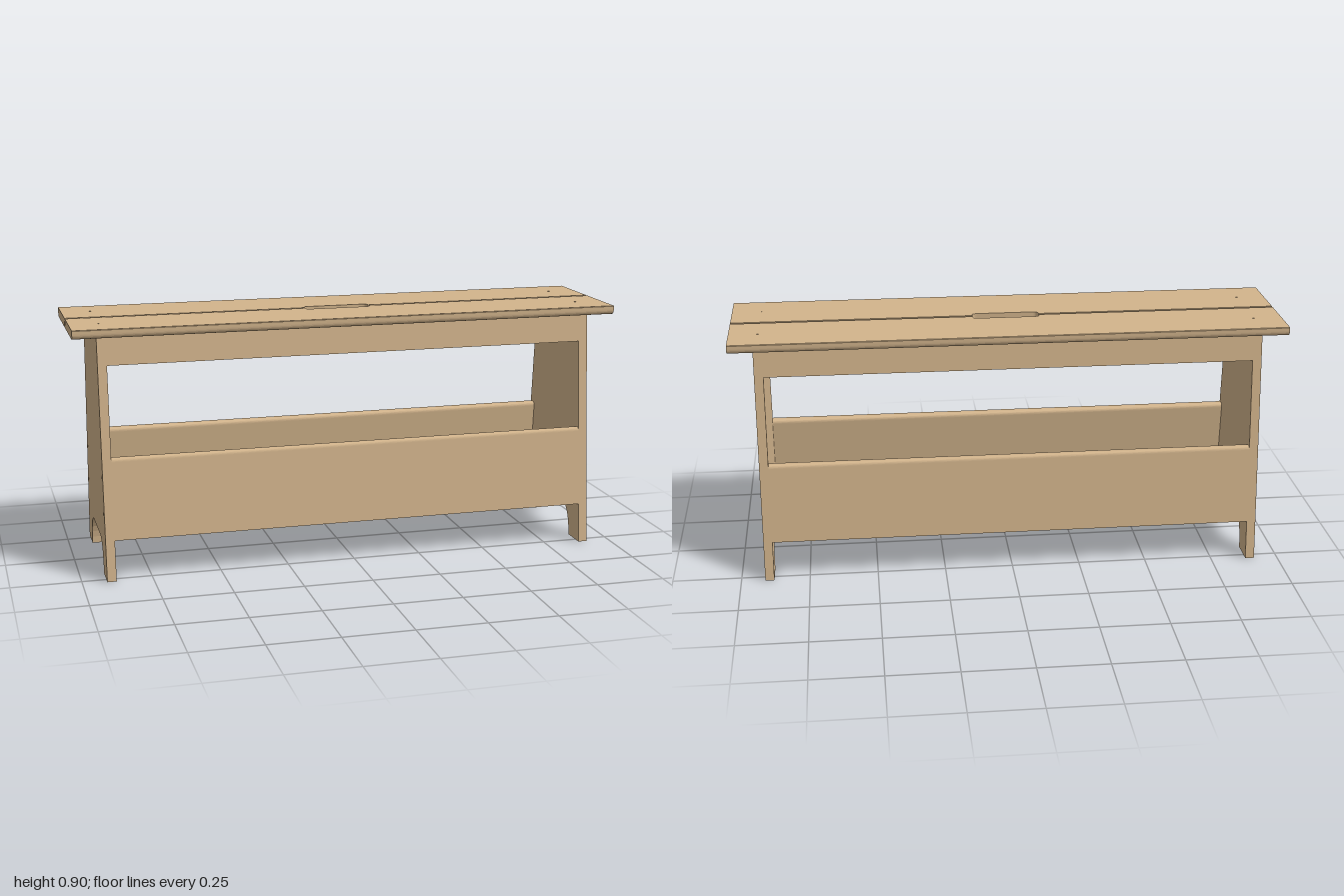
import * as THREE from 'three';

const wood = new THREE.MeshStandardMaterial({ color: 0xd2b48c });
wood.name = 'tanWood';

const LEG_TOP = 0.867, SEAT_TOP = 0.9, FOOT = 0.28, TOP_HALF = 0.203;
const TILT = Math.atan((FOOT - TOP_HALF) / LEG_TOP);

function add(parent, name, geometry, x = 0, y = 0, z = 0) {
  const mesh = new THREE.Mesh(geometry, wood);
  mesh.name = name;
  mesh.position.set(x, y, z);
  parent.add(mesh);
  return mesh;
}

// Extrudes a (z, y) cross-section along x, centred on x = 0
function prism(shape, length) {
  const g = new THREE.ExtrudeGeometry(shape, { depth: length, bevelEnabled: false, curveSegments: 8 });
  return g.translate(0, 0, -length / 2).rotateY(-Math.PI / 2);
}

// Tapered end panel with an arched cut-out at the foot
function endPanel() {
  const s = new THREE.Shape();
  s.moveTo(FOOT, 0);
  s.lineTo(TOP_HALF, LEG_TOP);
  s.lineTo(-TOP_HALF, LEG_TOP);
  s.lineTo(-FOOT, 0);
  s.lineTo(-0.182, 0);
  s.bezierCurveTo(-0.182, 0.07, -0.15, 0.122, -0.1, 0.122);
  s.lineTo(0.1, 0.122);
  s.bezierCurveTo(0.15, 0.122, 0.182, 0.07, 0.182, 0);
  return prism(s, 0.033);
}

// Board section whose outer face is at 0, with optionally rounded top corners
function board(bottom, top, thick, r) {
  const s = new THREE.Shape();
  s.moveTo(0, bottom);
  s.lineTo(0, top - r);
  if (r) s.quadraticCurveTo(0, top, -r, top);
  s.lineTo(-thick + r, top);
  if (r) s.quadraticCurveTo(-thick, top, -thick, top - r);
  s.lineTo(-thick, bottom);
  return prism(s, 1.762);
}

// Outer part of a seat slat, with a rounded lower edge
function slat() {
  const s = new THREE.Shape();
  s.moveTo(0.027, LEG_TOP);
  s.lineTo(0.23, LEG_TOP);
  s.quadraticCurveTo(0.25, LEG_TOP, 0.25, LEG_TOP + 0.02);
  s.lineTo(0.25, SEAT_TOP - 0.002);
  s.lineTo(0.248, SEAT_TOP);
  s.lineTo(0.027, SEAT_TOP);
  return prism(s, 2);
}

// Inner strip of a slat, stopping at the hand hole with a rounded corner
function innerStrip(side) {
  const s = new THREE.Shape();
  s.moveTo(side, 0.006);
  s.lineTo(side * 0.122, 0.006);
  s.lineTo(side * 0.122, 0.01);
  s.quadraticCurveTo(side * 0.122, 0.027, side * 0.105, 0.027);
  s.lineTo(side, 0.027);
  const g = new THREE.ExtrudeGeometry(s, { depth: SEAT_TOP - LEG_TOP, bevelEnabled: false, curveSegments: 6 });
  return g.rotateX(Math.PI / 2);
}

export function createModel() {
  const bench = new THREE.Group();
  bench.name = 'bench';

  // End panels with peg heads
  for (const side of [1, -1]) {
    add(bench, 'endPanel', endPanel(), side * 0.8965);
    for (const [z, y] of [[0.227, 0.37], [0.238, 0.24]]) {
      for (const m of [1, -1]) {
        add(bench, 'panelPeg', new THREE.CylinderGeometry(0.005, 0.005, 0.004, 10), side * 0.912, y, m * z).rotation.z = Math.PI / 2;
      }
    }
  }

  // Front half and its mirrored back half
  for (const turn of [0, Math.PI]) {
    const half = new THREE.Group();
    half.name = turn ? 'backHalf' : 'frontHalf';
    half.rotation.y = turn;
    bench.add(half);

    add(half, 'seatSlat', slat());
    for (const side of [1, -1]) {
      add(half, 'seatInnerStrip', innerStrip(side), 0, SEAT_TOP, 0);
      add(half, 'seatPeg', new THREE.CylinderGeometry(0.004, 0.004, 0.002, 10), side * 0.895, SEAT_TOP, 0.13);
    }

    // Boards leaning with the panel edges
    const lean = new THREE.Group();
    lean.name = 'leaningBoards';
    lean.position.z = FOOT;
    lean.rotation.x = -TILT;
    half.add(lean);
    add(lean, 'apron', board(0.768, 0.869, 0.033, 0));
    add(lean, 'sideBoard', board(0.147, 0.442, 0.036, 0.014));
  }

  // Storage shelf between the side boards
  add(bench, 'shelf', new THREE.BoxGeometry(1.762, 0.033, 0.46), 0, 0.18, 0);

  return bench;
}
